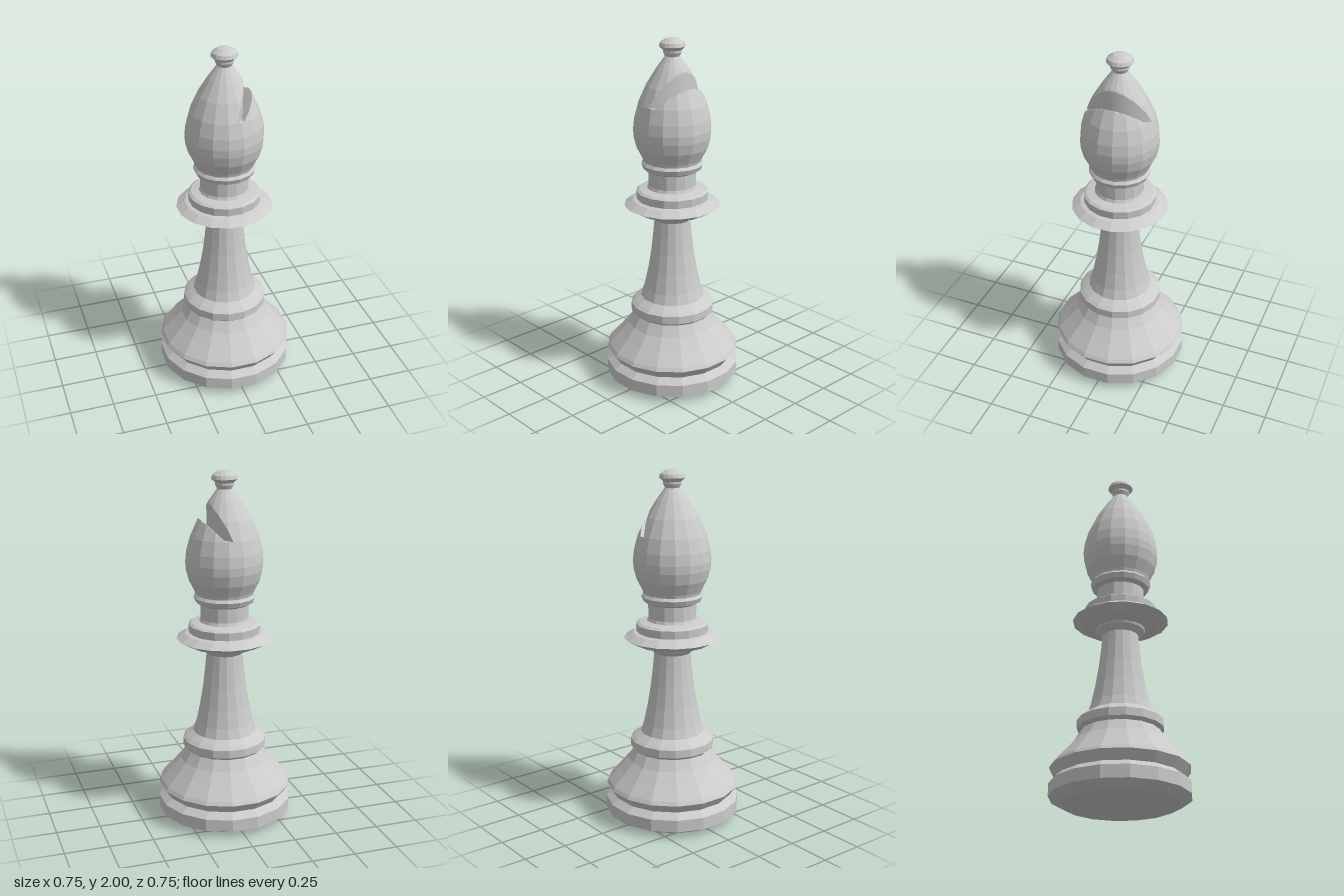
import * as THREE from 'three';

const SIDES = 16;
const HALF = Math.PI / SIDES;
const material = new THREE.MeshStandardMaterial({ color: 0xcccccc, flatShading: true, side: THREE.DoubleSide });

// Profiles list [distance from axis to flat side, height], bottom to top.
function turned(name, profile) {
  const points = profile.map(([r, y]) => new THREE.Vector2(r / Math.cos(HALF), y));
  const mesh = new THREE.Mesh(new THREE.LatheGeometry(points, SIDES, HALF), material);
  mesh.name = name;
  return mesh;
}

// Sixteen-sided turned form with a fine grid, so that a rule can cut it.
function carved(name, profile, rule) {
  const points = [];
  profile.forEach(([r, y], i) => {
    if (i > 0) {
      const [r0, y0] = profile[i - 1];
      const steps = Math.max(1, Math.ceil(Math.hypot(r - r0, y - y0) / 0.012));
      for (let k = 1; k < steps; k++) {
        points.push(new THREE.Vector2(r0 + (r - r0) * k / steps, y0 + (y - y0) * k / steps));
      }
    }
    points.push(new THREE.Vector2(r, y));
  });
  const geometry = new THREE.LatheGeometry(points, SIDES * 8, HALF);
  const pos = geometry.attributes.position;
  const v = new THREE.Vector3();
  for (let i = 0; i < pos.count; i++) {
    v.fromBufferAttribute(pos, i);
    // Flatten the circle to sixteen sides
    const angle = Math.atan2(v.x, v.z);
    const off = angle - Math.round(angle / (2 * HALF)) * 2 * HALF;
    v.x /= Math.cos(off);
    v.z /= Math.cos(off);
    rule(v);
    pos.setXYZ(i, v.x, v.y, v.z);
  }
  geometry.computeVertexNormals();
  const mesh = new THREE.Mesh(geometry, material);
  mesh.name = name;
  return mesh;
}

export function createModel() {
  const group = new THREE.Group();
  group.name = 'bishop';

  group.add(turned('base', [
    [0, 0], [0.31, 0.003], [0.376, 0.04], [0.376, 0.11], [0.362, 0.122], [0.338, 0.143],
    [0.374, 0.195], [0.362, 0.215], [0.3, 0.285], [0.25, 0.345], [0.215, 0.405],
  ]));
  group.add(turned('baseRing', [[0.215, 0.405], [0.234, 0.422], [0.234, 0.467], [0.217, 0.482], [0.178, 0.51]]));
  group.add(turned('stem', [[0.178, 0.51], [0.16, 0.565], [0.138, 0.67], [0.119, 0.79], [0.107, 0.9], [0.1, 0.98]]));
  group.add(turned('collar', [
    [0.1, 0.975], [0.132, 1.005], [0.137, 1.018], [0.205, 1.03], [0.266, 1.065],
    [0.22, 1.095], [0.197, 1.1], [0.2, 1.145], [0.185, 1.155], [0.132, 1.165],
  ]));
  group.add(turned('neck', [
    [0.14, 1.162], [0.132, 1.18], [0.132, 1.26], [0.158, 1.274], [0.17, 1.302], [0.158, 1.318], [0.163, 1.335],
  ]));

  // Head in two pieces, parted by a slanting slot on the left side
  const slotFloor = 1.645;
  const upper = [[0.186, slotFloor], [0.143, 1.742], [0.086, 1.835], [0.04, 1.9], [0, 1.9]];
  const lower = [[0.163, 1.335], [0.195, 1.4], [0.21, 1.46], [0.213, 1.505], [0.207, 1.565]];
  group.add(carved('headLower', [...lower, ...upper], (v) => {
    v.y = Math.min(v.y, slotFloor + Math.max(0, v.x - 0.05) * 1.04);
  }));
  group.add(carved('headUpper', upper, (v) => {
    v.x = Math.min(v.x, 0.093 - 2.35 * v.z * v.z);
  }));

  group.add(turned('finial', [
    [0.036, 1.895], [0.05, 1.922], [0.05, 1.934], [0.072, 1.955], [0.065, 1.975], [0.036, 1.994], [0, 2],
  ]));
  return group;
}
